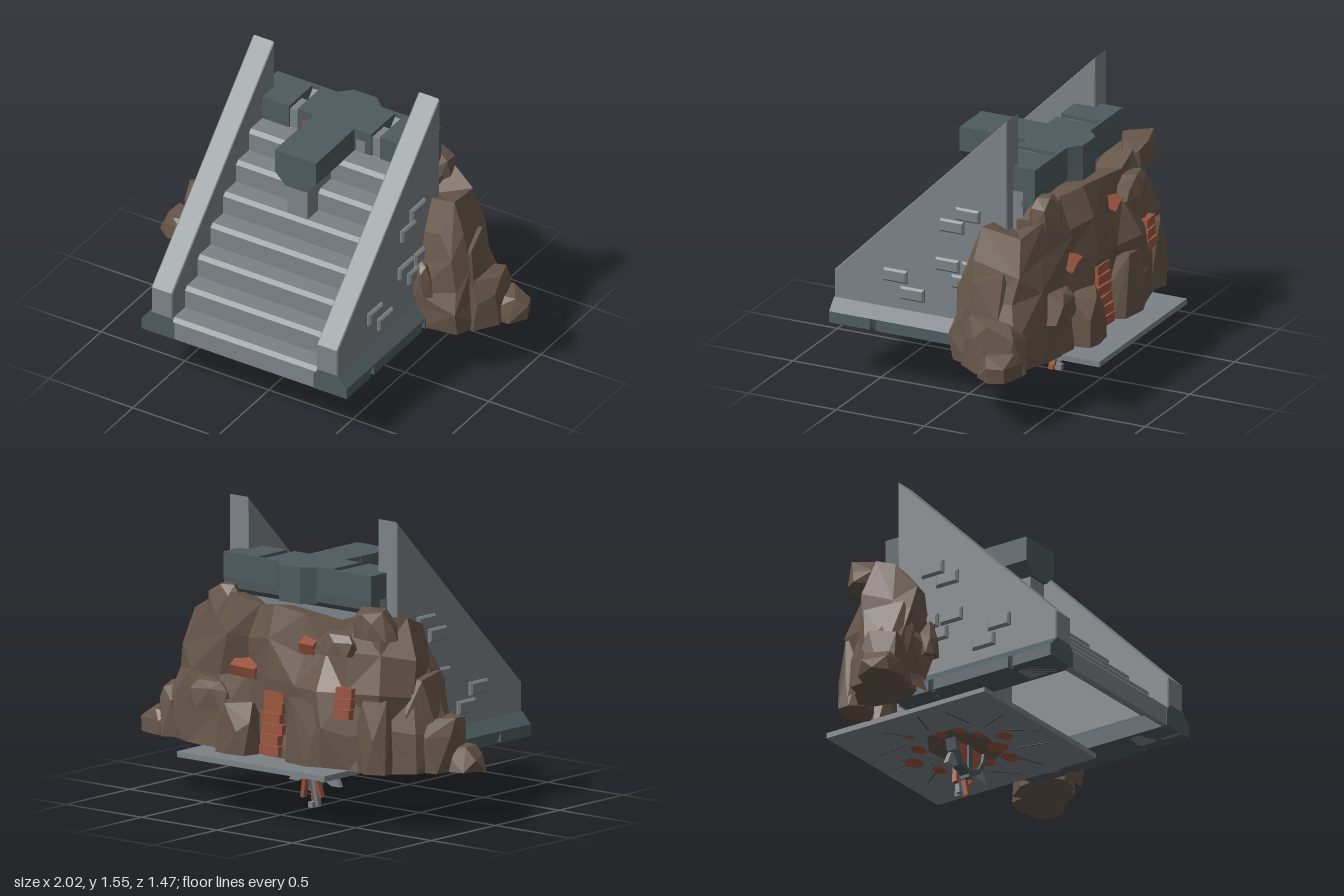
import * as THREE from 'three';
import { ConvexGeometry } from 'three/addons/geometries/ConvexGeometry.js';

const mat = (name, color) => {
  const m = new THREE.MeshStandardMaterial({ color, flatShading: true });
  m.name = name;
  return m;
};

export function createModel() {
  const model = new THREE.Group();
  const grey = mat('grey stone', 0x7b8286);
  const slate = mat('dark slate', 0x4e5b5f);
  const brown = mat('brown rock', 0x675649);
  const rust = mat('rust brick', 0x9a5540);

  let seed = 7;
  const rnd = () => (seed = (seed * 16807) % 2147483647) / 2147483647;
  const jit = (a) => (rnd() - 0.5) * 2 * a;

  const add = (name, geo, m, parent = model) => {
    const mesh = new THREE.Mesh(geo, m);
    mesh.name = name;
    parent.add(mesh);
    return mesh;
  };
  const box = (name, m, x0, x1, y0, y1, z0, z1) =>
    add(name, new THREE.BoxGeometry(x1 - x0, y1 - y0, z1 - z0)
      .translate((x0 + x1) / 2, (y0 + y1) / 2, (z0 + z1) / 2), m);
  const outline = (pts) => new THREE.Shape(pts.map(([a, b]) => new THREE.Vector2(a, b)));
  const extrude = (pts, depth, bevel = 0) => new THREE.ExtrudeGeometry(outline(pts), {
    depth: depth - 2 * bevel, bevelEnabled: bevel > 0, bevelSegments: 1,
    bevelSize: bevel, bevelThickness: bevel, bevelOffset: -bevel,
  }).translate(0, 0, bevel);
  // Profile of [z, y] points swept from x0 to x1
  const sweepX = (pts, x0, x1, bevel) =>
    extrude(pts.map(([z, y]) => [-z, y]), x1 - x0, bevel).rotateY(Math.PI / 2).translate(x0, 0, 0);
  // Plan of [x, z] points raised from y0 to y1
  const raise = (pts, y0, y1) =>
    extrude(pts.map(([x, z]) => [x, -z]), y1 - y0).rotateX(-Math.PI / 2).translate(0, y0, 0);

  // Stairs: a thin stepped shell with chamfered nosings
  const run = 0.1225, rise = 0.1217, c = 0.02, thick = 0.03;
  const top = [[0.735, 0.3]], under = [[0.735 - thick, 0.3]];
  for (let i = 0; i < 7; i++) {
    const z = 0.735 - run * i, y = 0.42 + rise * i;
    top.push([z, y - c], [z - c, y]);
    if (i < 6) top.push([z - run, y]);
    under.push([z - thick, y - thick], [z - run - thick, y - thick]);
  }
  const back = [[-0.24, 1.15], [-0.24, 1.12]];
  add('stairs', sweepX([...top, ...back, ...under.reverse()], -0.435, 0.435), grey);

  // Sloping side walls, base trims and raised bricks
  const wall = [[0.735, 0.3], [0.735, 0.57], [-0.245, 1.55], [-0.245, 0.3]];
  const trim = (foot) => [[0.415, 0.3], [foot, 0.3], [0.612, 0.36], [0.555, 0.42], [0.44, 0.42], [0.415, 0.39]];
  const bricks = [[-0.025, 1.0], [0.065, 0.925], [0.09, 0.71], [-0.06, 0.71], [0, 0.63], [0.385, 0.6], [0.29, 0.515]];
  for (const s of [1, -1]) {
    const flip = (pts) => pts.map(([x, y]) => [s * x, y]);
    for (const [z0, z1, foot] of [[0.505, 0.738, 0.612], [0.475, 0.505, 0.585], [0.015, 0.475, 0.612],
      [-0.015, 0.015, 0.585], [-0.23, -0.015, 0.612]])
      add('baseTrim', extrude(flip(trim(foot)), z1 - z0).translate(0, 0, z0), slate);
    add('sideWall', sweepX(wall, s > 0 ? 0.43 : -0.555, s > 0 ? 0.555 : -0.43, 0.006), grey);
    for (const [z, y] of bricks) {
      const g = extrude([[-0.068, -0.035], [0.068, -0.035], [0.068, 0.035], [-0.068, 0.035]], 0.04, 0.01);
      add('wallBrick', g.rotateY(s * Math.PI / 2).translate(s * 0.535, y, z), grey);
    }
    // Stub posts with a sloping slot behind, set in the lintel
    box('stubPost', grey, s * 0.245 - 0.025, s * 0.245 + 0.025, 1.15, 1.26, -0.25, -0.14);
    add('slotSlope', sweepX([[-0.365, 1.27], [-0.365, 1.15], [-0.25, 1.15]], s * 0.245 - 0.025, s * 0.245 + 0.025), slate);
  }

  // Back wall and the lintel on top
  box('backWall', grey, -0.488, 0.488, 0.3, 1.15, -0.3, -0.235);
  const half = [[0.12, 0], [0.12, -0.13], [0.22, -0.13], [0.22, -0.355], [0.27, -0.355], [0.27, -0.13],
    [0.43, -0.13], [0.43, -0.248], [0.488, -0.248], [0.488, -0.37], [0.13, -0.37], [0.07, -0.43]];
  const plan = [...half, ...half.map(([x, z]) => [-x, z]).reverse()];
  add('lintel', raise(plan, 1.15, 1.28), slate);
  add('lintelUnderside', sweepX([[-0.29, 1.15], [-0.37, 1.15], [-0.365, 1.1], [-0.33, 1.07], [-0.29, 1.07]], -0.488, 0.488), slate);
  add('lintelBoss', raise([[0.13, -0.36], [0.07, -0.43], [-0.07, -0.43], [-0.13, -0.36]], 1.09, 1.15), slate);
  add('lintelNose', extrude([[-0.122, 1.28], [-0.122, 1.15], [-0.06, 1.085], [0.06, 1.085], [0.122, 1.15], [0.122, 1.28]], 0.265)
    .translate(0, 0, -0.02), slate);
  box('nosePost', grey, -0.06, 0.06, 0.88, 1.09, -0.02, 0.225);
  box('rustBlock', rust, -0.19, -0.13, 1.15, 1.22, -0.15, -0.125);
  box('greyBlock', grey, 0.13, 0.185, 1.15, 1.22, -0.15, -0.125);

  // Cliff: a ribbon of columns [foot x, foot z, top x, top z, top y] around the back
  const columns = [
    [0.58, -0.02, 0.54, -0.06, 0.66], [0.78, -0.05, 0.65, -0.1, 0.84], [0.84, -0.2, 0.69, -0.17, 1.01],
    [0.82, -0.42, 0.67, -0.38, 0.97], [0.62, -0.50, 0.52, -0.44, 1.03], [0.39, -0.54, 0.37, -0.45, 1.1],
    [0.25, -0.48, 0.25, -0.36, 1.04], [0.09, -0.52, 0.09, -0.44, 1.07], [-0.12, -0.54, -0.12, -0.45, 1.05],
    [-0.32, -0.58, -0.30, -0.46, 1.03], [-0.48, -0.54, -0.45, -0.45, 1.08], [-0.66, -0.50, -0.58, -0.43, 1.09],
    [-0.80, -0.38, -0.67, -0.3, 1.08], [-0.84, -0.20, -0.67, -0.18, 1.03], [-0.79, -0.05, -0.62, -0.08, 0.9],
    [-0.58, -0.02, -0.54, -0.05, 0.68]];
  const rows = 5;
  const grid = columns.map(([bx, bz, tx, tz, h]) => {
    const col = [];
    for (let r = 0; r < rows; r++) {
      const t = r / (rows - 1), k = Math.pow(t, 1.8), j = r > 0 && r < rows - 1 ? 0.035 : 0;
      col.push([bx + (tx - bx) * k + jit(j), 0.3 + (h - 0.3) * t + jit(j), bz + (tz - bz) * k + jit(j)]);
    }
    col.push([THREE.MathUtils.clamp(tx, -0.5, 0.5), h - 0.03, Math.max(tz, -0.27)]);
    return col;
  });
  const pos = [];
  for (let i = 0; i + 1 < grid.length; i++)
    for (let r = 0; r < rows; r++) {
      const a = grid[i][r], b = grid[i + 1][r], d = grid[i][r + 1], e = grid[i + 1][r + 1];
      if ((i + r) % 2) pos.push(...a, ...b, ...d, ...b, ...e, ...d);
      else pos.push(...a, ...b, ...e, ...a, ...e, ...d);
    }
  const cliff = new THREE.BufferGeometry();
  cliff.setAttribute('position', new THREE.Float32BufferAttribute(pos, 3));
  cliff.computeVertexNormals();
  add('cliff', cliff, brown);

  // Angular boulders: x, z, bottom, top, radius x, radius z, taper
  const boulders = [
    [0.87, -0.37, 0.3, 0.43, 0.14, 0.11, 0.7], [0.8, -0.3, 0.3, 0.58, 0.11, 0.17, 0.85],
    [-0.87, -0.12, 0.3, 0.43, 0.14, 0.11, 0.7], [-0.8, -0.18, 0.3, 0.59, 0.11, 0.16, 0.85],
    [0.7, -0.22, 0.3, 0.8, 0.13, 0.17, 0.75], [-0.7, -0.22, 0.3, 0.82, 0.13, 0.17, 0.75],
    [-0.56, -0.42, 0.98, 1.13, 0.14, 0.09, 0.8], [-0.36, -0.47, 0.88, 1.0, 0.14, 0.08, 0.7],
    [-0.22, -0.53, 0.3, 0.66, 0.15, 0.08, 0.9], [0.25, -0.53, 0.3, 0.58, 0.13, 0.1, 0.8],
    [-0.6, -0.47, 0.3, 0.7, 0.11, 0.09, 0.8], [0.48, -0.49, 0.5, 0.66, 0.13, 0.08, 0.7],
    [0.59, -0.03, 0.5, 0.7, 0.06, 0.05, 0.4], [-0.59, -0.03, 0.5, 0.7, 0.06, 0.05, 0.4],
    [0.43, -0.4, 0.98, 1.14, 0.11, 0.08, 0.5]];
  for (const [x, z, y0, y1, rx, rz, taper] of boulders) {
    const pts = [];
    for (const [t, k, n] of [[0, 1.03, 7], [0.55, 0.96, 6], [1, taper, 4]])
      for (let i = 0; i < n; i++) {
        const a = (i + rnd() * 0.5) / n * Math.PI * 2, q = k * (0.92 + rnd() * 0.16);
        const y = y0 + (y1 - y0) * (t === 1 ? 0.85 + rnd() * 0.15 : t + (t ? jit(0.15) : 0));
        pts.push(new THREE.Vector3(x + Math.cos(a) * rx * q, y, z + Math.sin(a) * rz * q));
      }
    add('boulder', new ConvexGeometry(pts), brown);
  }

  // Rust brickwork showing between the rocks
  for (const [x, z, y, n, w] of [[0.03, -0.52, 0.34, 6, 0.13], [-0.45, -0.525, 0.59, 3, 0.1]])
    for (let i = 0; i < n; i++) {
      const b = add('rustBrick', new THREE.BoxGeometry(w, 0.05, 0.07), rust);
      b.position.set(x + jit(0.006), y + i * 0.055, z + i * 0.006);
      b.rotation.y = jit(0.12);
    }
  for (const [x, y, z, w, d] of [[0.27, 0.73, -0.44, 0.14, 0.12], [-0.17, 0.9, -0.475, 0.08, 0.08]]) {
    const b = add('rustBrick', new THREE.BoxGeometry(w, 0.06, d), rust);
    b.position.set(x, y, z);
    b.rotation.set(-0.4, 0.2, 0.2);
  }

  // Floor slab with cracks and broken patches beneath
  box('floorSlab', grey, -0.49, 0.49, 0.275, 0.304, -0.735, 0.245);
  const patch = (name, x, z, r, y, m) =>
    add(name, new THREE.CircleGeometry(r, 5 + Math.floor(rnd() * 3)).rotateZ(rnd() * 6)
      .scale(1, 0.6 + rnd() * 0.4, 1).rotateX(Math.PI / 2).translate(x, y, z), m);
  patch('brokenCentre', 0, -0.23, 0.24, 0.273, brown);
  for (let i = 0; i < 12; i++) {
    const a = i / 12 * Math.PI * 2, r = 0.17 + rnd() * 0.16;
    patch('rustPatch', Math.cos(a) * r, -0.23 + Math.sin(a) * r, 0.03 + rnd() * 0.04, 0.271, rust);
    const crack = add('crack', new THREE.BoxGeometry(0.18, 0.003, 0.01), slate);
    crack.position.set(Math.cos(a) * 0.36, 0.2745, -0.23 + Math.sin(a) * 0.36);
    crack.rotation.y = -a + jit(0.9);
  }

  // Hanging ornament: rimmed shield, leaves and dangling strips
  const ornament = new THREE.Group();
  ornament.name = 'hangingOrnament';
  ornament.position.set(0, 0, -0.23);
  model.add(ornament);
  const shield = (k) => [[-0.14, 0.28], [-0.125, 0.21], [-0.08, 0.145], [0, 0.105], [0.08, 0.145], [0.125, 0.21], [0.14, 0.28]]
    .map(([x, y]) => [x * k, 0.28 - (0.28 - y) * k]);
  const rim = outline(shield(1));
  rim.holes.push(new THREE.Path(shield(0.84).map(([x, y]) => new THREE.Vector2(x, y))));
  add('shieldRim', new THREE.ExtrudeGeometry(rim, { depth: 0.06, bevelEnabled: false }).translate(0, 0, -0.015), slate, ornament);
  add('shieldFace', extrude(shield(0.86), 0.03), rust, ornament);
  add('shieldBar', new THREE.BoxGeometry(0.03, 0.18, 0.07).translate(0, 0.185, 0.01), slate, ornament);
  for (const s of [1, -1]) {
    const leaf = extrude([[0.06, 0.15], [0.1, 0.2], [0.135, 0.195], [0.17, 0.125], [0.11, 0.125]].map(([x, y]) => [s * x, y]), 0.025);
    add('leaf', leaf.translate(0, 0, -0.005), grey, ornament);
  }
  for (const [x0, x1, y1, z, m] of [[0.0, 0.012, 0.005, 0.0, rust], [-0.02, -0.03, 0.01, -0.02, grey],
    [0.03, 0.06, 0.05, -0.03, rust], [-0.03, -0.055, 0.06, -0.02, rust], [0.02, 0.04, 0.08, 0.01, rust]]) {
    const strip = add('strip', new THREE.BoxGeometry(0.022, 0.17 - y1, 0.026), m, ornament);
    strip.position.set((x0 + x1) / 2, (0.17 + y1) / 2, z);
    strip.rotation.set(-0.15, 0, (x1 - x0) / (0.17 - y1));
  }
  add('stripTip', new THREE.BoxGeometry(0.03, 0.03, 0.035).translate(-0.005, 0.02, -0.025), grey, ornament);
  return model;
}
